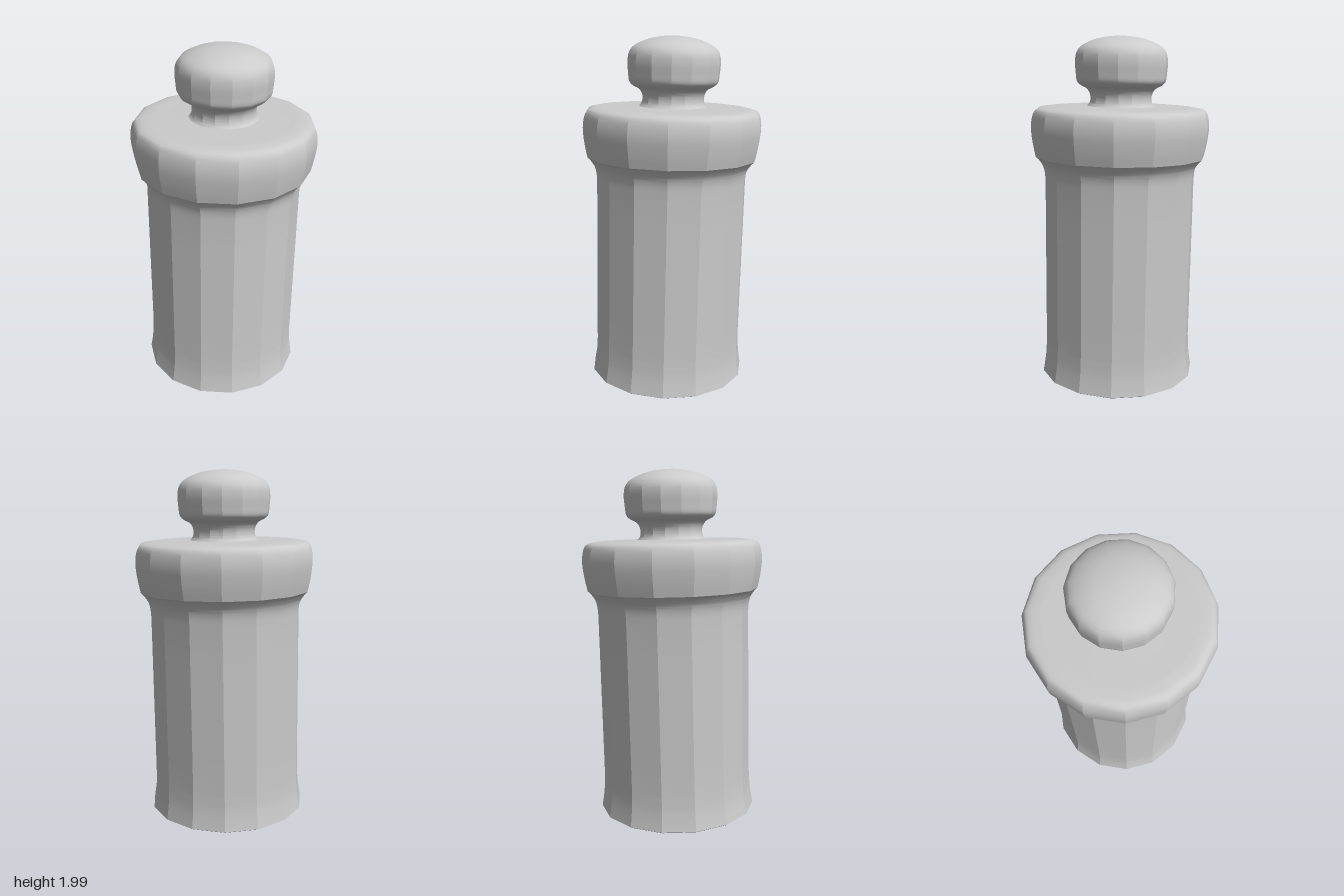
import * as THREE from 'three';
import { toCreasedNormals } from 'three/addons/utils/BufferGeometryUtils.js';

const SIDES = 15;
const material = new THREE.MeshStandardMaterial({ color: 0xcccccc, side: THREE.DoubleSide });

// Joins smooth [radius, height] runs, keeping a sharp corner between runs.
function profile(...runs) {
  return runs.flatMap(run => {
    const curve = new THREE.SplineCurve(run.map(([r, y]) => new THREE.Vector2(r, y)));
    return curve.getPoints((run.length - 1) * 4).map(p => p.setX(Math.max(p.x, 0)));
  });
}

// Turned part: facets stay crisp around the axis and smooth along the profile.
function turned(name, points) {
  const lathe = new THREE.LatheGeometry(points, SIDES, Math.PI / 2);
  const mesh = new THREE.Mesh(toCreasedNormals(lathe, 0.4), material);
  mesh.name = name;
  return mesh;
}

export function createModel() {
  const model = new THREE.Group();
  model.name = 'jar';

  // The whole jar leans very slightly backwards
  const jar = new THREE.Group();
  jar.name = 'leaningJar';
  jar.rotation.x = -0.023;
  jar.position.set(-0.007, 0, 0.034);
  model.add(jar);

  // Body: shallow domed underside, flared foot, straight wall, flared neck
  jar.add(turned('body', profile(
    [[0, 0.005], [0.13, 0.009], [0.25, 0.02], [0.37, 0.042], [0.42, 0.057], [0.447, 0.072]],
    [[0.447, 0.072], [0.438, 0.125], [0.43, 0.19], [0.426, 0.27]],
    [[0.426, 0.27], [0.425, 1.2]],
    [[0.425, 1.2], [0.428, 1.25], [0.438, 1.29], [0.455, 1.318], [0.466, 1.332]],
  )));

  // Lid: small underside ledge, bulging rim and nearly flat top
  jar.add(turned('lid', profile(
    [[0.466, 1.332], [0.478, 1.342]],
    [[0.478, 1.342], [0.492, 1.41], [0.502, 1.49], [0.498, 1.55], [0.483, 1.592], [0.455, 1.609], [0.40, 1.616]],
    [[0.40, 1.616], [0.30, 1.617], [0.19, 1.62]],
  )));

  // Knob: waisted stem and rounded cap
  jar.add(turned('knob', profile(
    [[0.19, 1.62], [0.178, 1.635], [0.172, 1.66], [0.177, 1.69], [0.195, 1.716], [0.228, 1.733],
      [0.249, 1.757], [0.255, 1.80], [0.259, 1.86], [0.25, 1.91], [0.219, 1.946], [0.15, 1.978],
      [0.07, 1.995], [0, 2.0]],
  )));

  return model;
}
